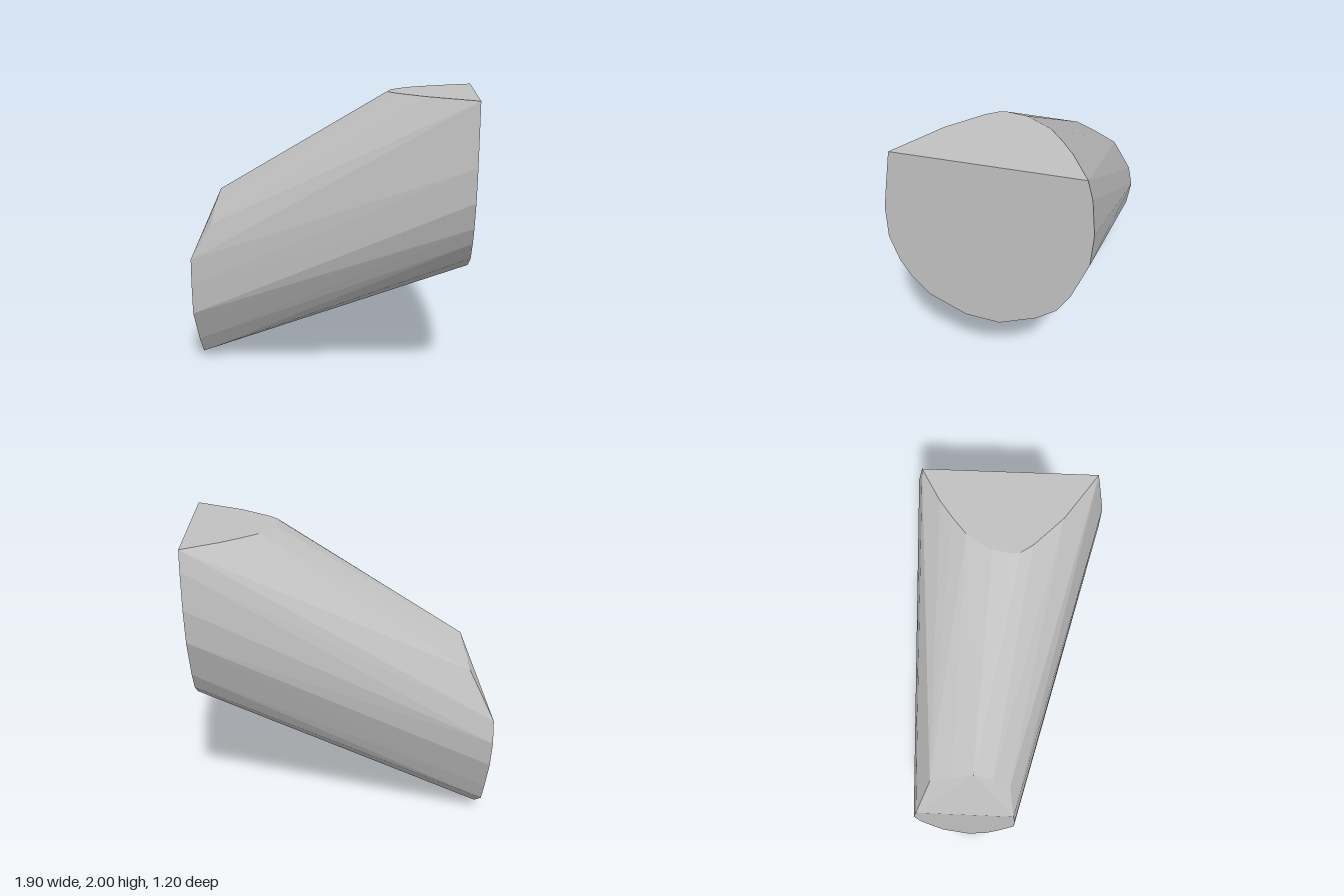
import * as THREE from 'three';
import { ConvexGeometry } from 'three/addons/geometries/ConvexGeometry.js';

export function createModel() {
  const group = new THREE.Group();
  const stone = new THREE.MeshStandardMaterial({ color: 0xc0c0c0 });
  stone.name = 'paleGrey';

  // Large end section at x = 0.95, as [z, y]
  const largeEnd = [
    [0.535, 2], [0.57, 1.8], [0.6, 1.62], [0.6, 1.41], [0.55, 1.24], [0.49, 1.13],
    [0.38, 1.0], [0.16, 0.885], [-0.05, 0.865], [-0.28, 0.96], [-0.4, 1.05],
    [-0.48, 1.18], [-0.58, 1.44], [-0.595, 1.65], [-0.575, 1.88], [-0.545, 2],
  ];
  // Small end section at x = -0.95, as [z, y]
  const smallEnd = [
    [0.1, 0.83], [0.11, 0.65], [0.105, 0.43], [0.07, 0.36], [-0.025, 0.18],
    [-0.12, 0.04], [-0.25, 0], [-0.42, 0.14], [-0.48, 0.28], [-0.56, 0.5],
    [-0.585, 0.68], [-0.555, 0.83],
  ];
  // Curved rim of the flat top at y = 2, as [x, z]
  const topRim = [
    [0.73, -0.42], [0.62, -0.34], [0.51, -0.25], [0.41, -0.09],
    [0.39, 0.04], [0.4, 0.08], [0.45, 0.15], [0.64, 0.33],
  ];
  // Upper rim of the sloping cut above the small end, as [x, y, z]
  const cutRim = [
    [-0.8, 1.14, -0.445], [-0.79, 1.22, -0.3], [-0.78, 1.285, -0.16],
    [-0.79, 1.21, -0.04], [-0.8, 1.085, 0.07],
  ];

  const points = [
    ...largeEnd.map(([z, y]) => new THREE.Vector3(0.95, y, z)),
    ...smallEnd.map(([z, y]) => new THREE.Vector3(-0.95, y, z)),
    ...topRim.map(([x, z]) => new THREE.Vector3(x, 2, z)),
    ...cutRim.map((p) => new THREE.Vector3(...p)),
  ];

  // One faceted convex block skinned between the sections
  const block = new THREE.Mesh(new ConvexGeometry(points), stone);
  block.name = 'taperedBlock';
  group.add(block);
  return group;
}
